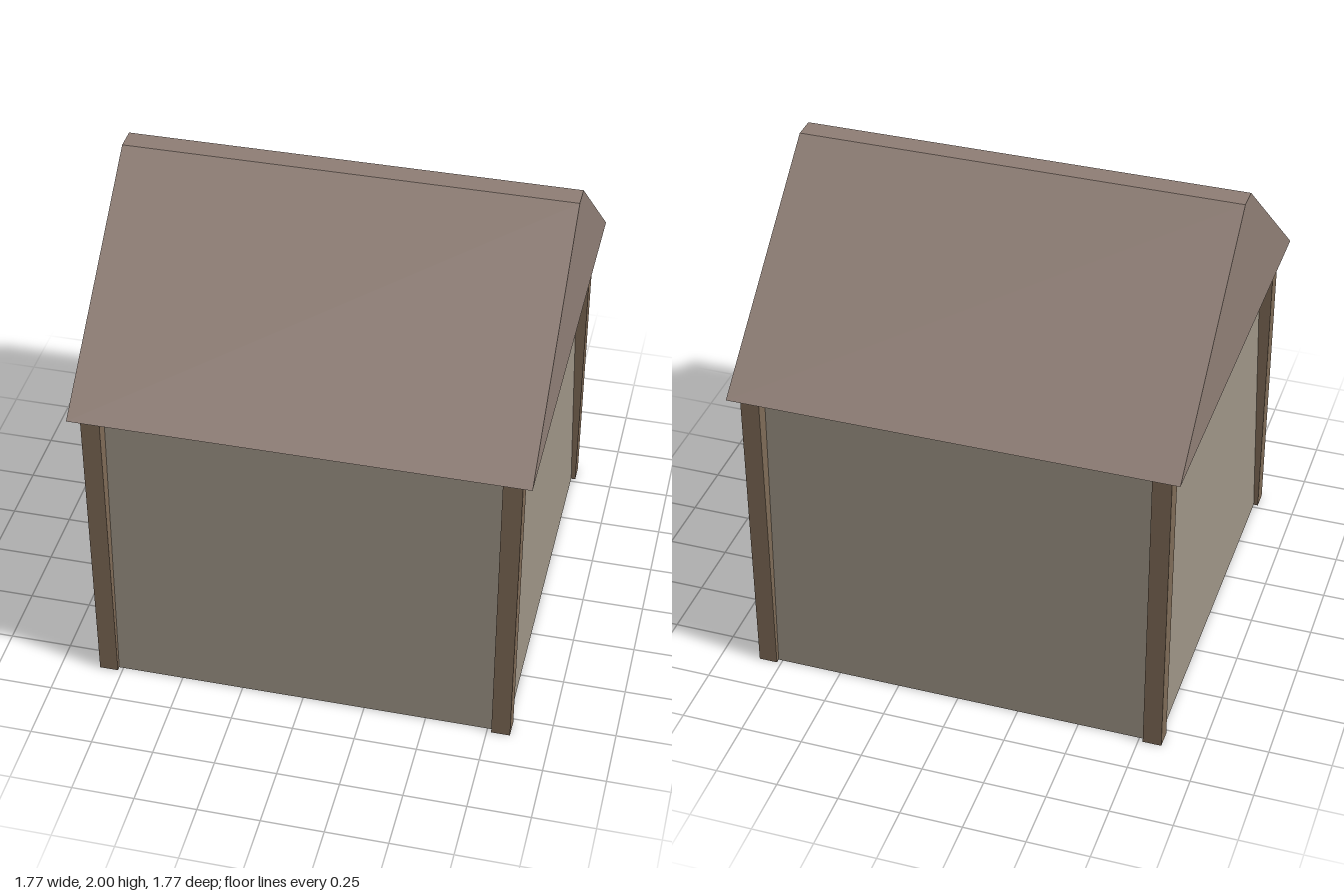
import * as THREE from 'three';

const material = (color) => new THREE.MeshStandardMaterial({ color, flatShading: true });

export function createModel() {
  const model = new THREE.Group();
  model.name = 'hut';
  const eavesY = 1.3;

  const add = (name, geometry, mat, x = 0, y = 0, z = 0) => {
    const mesh = new THREE.Mesh(geometry, mat);
    mesh.name = name;
    mesh.position.set(x, y, z);
    model.add(mesh);
    return mesh;
  };

  // Walls: a square block that narrows slightly towards the eaves
  const wallTop = 0.785, wallBottom = 0.825;
  const walls = new THREE.CylinderGeometry(
    wallTop * Math.SQRT2, wallBottom * Math.SQRT2, eavesY, 4);
  walls.rotateY(Math.PI / 4);
  add('walls', walls, material(0x9c9385), 0, eavesY / 2, 0);

  // Upright square posts at the four corners
  const postWidth = 0.075, postOuter = 0.843;
  const postCentre = postOuter - postWidth / 2;
  const post = new THREE.BoxGeometry(postWidth, eavesY, postWidth);
  const wood = material(0x7f6b57);
  for (const [side, sx] of [['Left', 1], ['Right', -1]]) {
    for (const [end, sz] of [['front', 1], ['back', -1]]) {
      add(`${end}${side}Post`, post, wood, sx * postCentre, eavesY / 2, sz * postCentre);
    }
  }

  // Solid gable roof with a narrow flat ridge, running along x
  const half = 0.883, ridge = 0.045;
  const gable = new THREE.Shape([
    new THREE.Vector2(-half, eavesY),
    new THREE.Vector2(half, eavesY),
    new THREE.Vector2(ridge, 2),
    new THREE.Vector2(-ridge, 2),
  ]);
  const roof = new THREE.ExtrudeGeometry(gable, { depth: half * 2, bevelEnabled: false });
  roof.translate(0, 0, -half);
  roof.rotateY(Math.PI / 2);
  add('roof', roof, material(0x8f7e75));

  return model;
}
